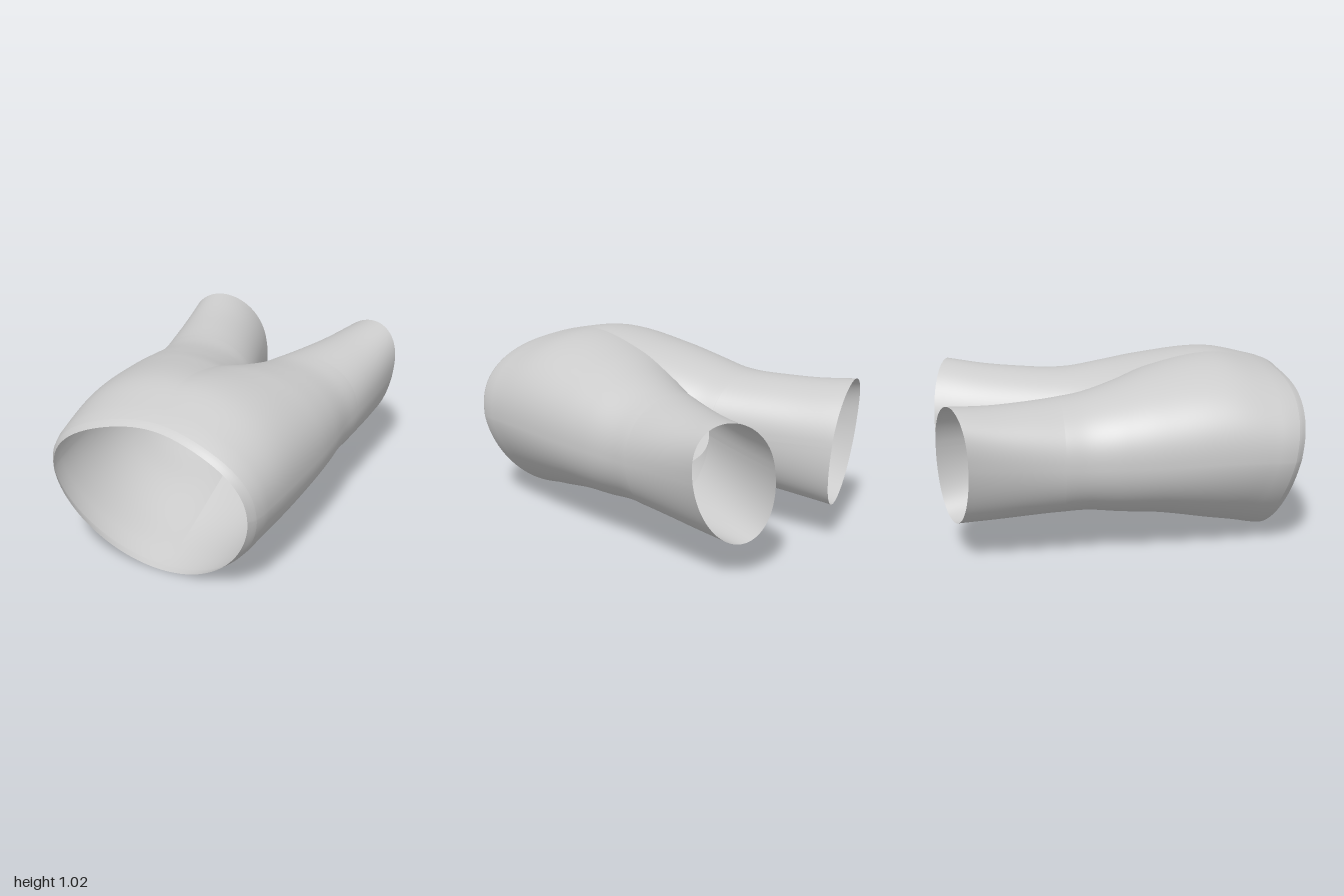
import * as THREE from 'three';

// Cross-section profile of one half along z:
// [z, outer x, inner x, top y, widest y, bottom y].
// A negative inner x means the half is cut by the centre plane.
const PROFILE = [
  [-0.92, 0.675, 0.235, 0.905, 0.6, 0.22],
  [-0.7, 0.668, 0.155, 0.88, 0.59, 0.23],
  [-0.5, 0.658, 0.075, 0.872, 0.58, 0.24],
  [-0.33, 0.648, 0, 0.872, 0.57, 0.245],
  [-0.2, 0.64, -0.06, 0.882, 0.56, 0.24],
  [0, 0.65, -0.18, 0.925, 0.56, 0.205],
  [0.2, 0.655, -0.34, 0.975, 0.56, 0.17],
  [0.55, 0.643, -0.53, 1.025, 0.56, 0.085],
  [0.75, 0.622, -0.6, 0.985, 0.55, 0.04],
  [0.875, 0.597, -0.597, 0.945, 0.54, 0.01],
  [0.915, 0.565, -0.565, 0.922, 0.54, 0.003],
];
const CROTCH = -0.33, HEM = -0.92, BAND = 0.875, WAIST = 0.915;
const COLS = 80;

const profile = new THREE.CubicInterpolant(
  PROFILE.map((p) => p[0]), PROFILE.flatMap((p) => p.slice(1)), 5, new Float32Array(5));

// Point on the half shell; v runs -1..1 from the lower to the upper inner edge
function shellPoint(z, v) {
  const [outer, inner, top, mid, bottom] = profile.evaluate(z);
  const cx = (outer + inner) / 2, a = (outer - inner) / 2;
  const limit = Math.acos(Math.max(-1, -cx / a));
  const angle = v * (z <= CROTCH + 1e-4 ? Math.PI : limit);
  const c = Math.cos(angle), s = Math.sin(angle);
  const leg = THREE.MathUtils.clamp((CROTCH - z) / (CROTCH - HEM), 0, 1);
  const waist = THREE.MathUtils.smoothstep(z, 0.1, WAIST);
  // Full, flattened upper side; the belly side tapers slightly towards the waist
  const y = s > 0
    ? mid + (top - mid) * s ** 0.85
    : mid - (mid - bottom) * (-s) ** (1 + 0.15 * waist);
  // Slanted waist edge, dipping at the middle of the back
  const slant = 0.085 * s + 0.05 * c * c - 0.04 * Math.max(0, s) ** 10;
  return [
    Math.max(0, cx + a * c + 0.07 * s * leg), // legs lean outward at the top
    y,
    z + slant * waist + 0.08 * c * leg,       // hem reaches further on the inside
  ];
}

// Skin a list of z stations; side is +1 (left) or -1 (right)
function shell(name, stations, side, material) {
  const pos = [], index = [];
  stations.forEach((z, j) => {
    for (let i = 0; i <= COLS; i++) {
      const [x, y, zz] = shellPoint(z, (i / COLS) * 2 - 1);
      pos.push(side * x, y, zz);
      if (j === stations.length - 1 || i === COLS) continue;
      const p = j * (COLS + 1) + i, q = p + COLS + 1;
      if (side > 0) index.push(p, p + 1, q, p + 1, q + 1, q);
      else index.push(p, q, p + 1, p + 1, q, q + 1);
    }
  });
  const geometry = new THREE.BufferGeometry();
  geometry.setAttribute('position', new THREE.Float32BufferAttribute(pos, 3));
  geometry.setIndex(index);
  geometry.computeVertexNormals();
  const mesh = new THREE.Mesh(geometry, material);
  mesh.name = name;
  return mesh;
}

export function createModel() {
  const group = new THREE.Group();
  group.name = 'shorts';
  const material = new THREE.MeshStandardMaterial({ color: 0xcccccc, side: THREE.DoubleSide });

  // Stations crowd together around the crotch, where the legs part
  const stations = [];
  for (let i = 24; i > 0; i--) stations.push(CROTCH + (HEM - CROTCH) * (i / 24) ** 1.6);
  for (let i = 0; i <= 44; i++) stations.push(CROTCH + (BAND - CROTCH) * (i / 44) ** 1.8);
  const band = [0, 1, 2, 3, 4].map((i) => BAND + ((WAIST - BAND) * i) / 4);

  for (const [label, side] of [['left', 1], ['right', -1]]) {
    group.add(shell(`${label}Half`, stations, side, material));
    group.add(shell(`${label}Waistband`, band, side, material));
  }
  return group;
}
